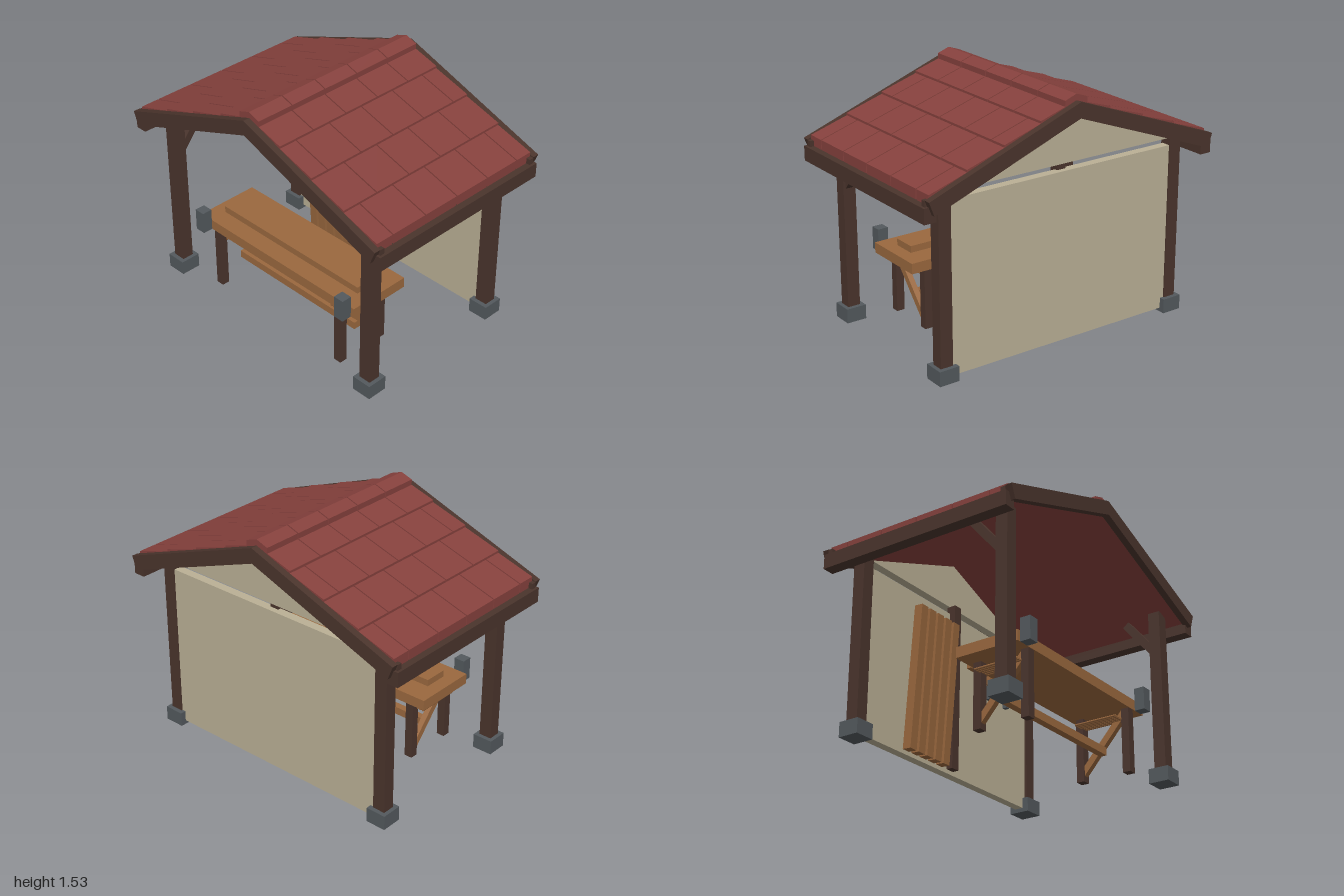
import * as THREE from 'three';

const mat = (name, color) => {
  const m = new THREE.MeshStandardMaterial({ color });
  m.name = name;
  return m;
};

export function createModel() {
  const root = new THREE.Group();
  root.name = 'workshopShelter';
  const timber = mat('darkTimber', 0x4a342c);
  const wood = mat('lightWood', 0x9a683e);
  const roofRed = mat('roofRed', 0x86413d);
  const plaster = mat('plaster', 0xbab095);
  const metal = mat('greyMetal', 0x53595d);

  const add = (name, geo, material) => {
    const mesh = new THREE.Mesh(geo, material);
    mesh.name = name;
    root.add(mesh);
    return mesh;
  };
  // Box given by its limits on each axis
  const box = (name, m, x0, x1, y0, y1, z0, z1) => {
    const mesh = add(name, new THREE.BoxGeometry(x1 - x0, y1 - y0, z1 - z0), m);
    mesh.position.set((x0 + x1) / 2, (y0 + y1) / 2, (z0 + z1) / 2);
    return mesh;
  };
  // Polygon in the xy plane, extruded from z0 to z1
  const prism = (name, m, pts, z0, z1) => {
    const shape = new THREE.Shape(pts.map(([x, y]) => new THREE.Vector2(x, y)));
    const geo = new THREE.ExtrudeGeometry(shape, { depth: z1 - z0, bevelEnabled: false });
    geo.translate(0, 0, z0);
    return add(name, geo, m);
  };
  // Right half outline, from the top centre round to the bottom centre, mirrored in x
  const mirrored = (half) => [
    ...half,
    ...half.slice(1, -1).reverse().map(([x, y]) => [-x, y]),
  ];
  // Square beam between two points that share the same x
  const beam = (name, m, x, w, t, [y0, z0], [y1, z1]) => {
    const mesh = add(name, new THREE.BoxGeometry(w, Math.hypot(y1 - y0, z1 - z0), t), m);
    mesh.position.set(x, (y0 + y1) / 2, (z0 + z1) / 2);
    mesh.rotation.x = Math.atan2(z1 - z0, y1 - y0);
    return mesh;
  };

  // Corner posts on footings, front knee braces
  for (const s of [-1, 1]) {
    const x = s * 0.81;
    for (const z of [-0.5, 0.5]) {
      box('footing', metal, x - 0.064, x + 0.064, 0, 0.09, z - 0.065, z + 0.065);
      box('cornerPost', timber, x - 0.04, x + 0.04, 0.09, 1.115, z - 0.038, z + 0.038);
    }
    beam('kneeBrace', timber, x, 0.05, 0.05, [0.84, 0.495], [1.09, 0.29]);
  }

  // Back wall, gable panel and middle post
  box('backWall', plaster, -0.775, 0.775, 0.025, 1.06, -0.53, -0.475);
  prism('gablePanel', plaster, [[-0.775, 1.105], [0.775, 1.105], [0, 1.4]], -0.53, -0.475);
  box('middlePost', timber, -0.03, 0.03, 0.05, 1.107, -0.495, -0.435);

  // Roof deck, barge boards and eave beams
  const slope = 0.367;
  const line = (x, lift = 0) => [x, 1.49 + lift - slope * x];
  prism('roofDeck', roofRed, mirrored([line(0, -0.058), line(0.955, -0.058), line(0.955, -0.085), line(0, -0.085)]), -0.62, 0.62);
  const barge = mirrored([line(0), line(0.985), [0.953, 1.045], line(0, -0.093)]);
  prism('bargeBoard', timber, barge, 0.62, 0.662);
  prism('bargeBoard', timber, barge, -0.662, -0.62);
  for (const s of [-1, 1]) {
    const [a, b] = s > 0 ? [0.925, 1] : [-1, -0.925];
    box('eaveBeam', timber, a, b, 1, 1.09, -0.635, 0.635);
    const [c, d] = s > 0 ? [0.955, 0.985] : [-0.985, -0.955];
    for (const z of [-0.62, 0.59]) box('eaveTab', timber, c, d, 1.085, 1.125, z, z + 0.03);
  }

  // Staggered shingle courses: the joints shift by half a tile on alternate rows
  const joints = [
    [-0.62, -0.375, -0.125, 0.125, 0.375, 0.62],
    [-0.62, -0.5, -0.25, 0, 0.25, 0.5, 0.62],
  ];
  const eachTile = (row, fn) => {
    const j = joints[row % 2];
    for (let i = 0; i < j.length - 1; i++) {
      fn(j[i] + (i ? 0.004 : 0), j[i + 1] - (i < j.length - 2 ? 0.004 : 0));
    }
  };
  for (let row = 0; row < 4; row++) {
    const x0 = row * 0.24, x1 = x0 + 0.24;
    const outline = [line(x0), line(x1, 0.014), line(x1, -0.046), line(x0, -0.059)];
    for (const s of [-1, 1]) {
      const pts = outline.map(([x, y]) => [s * x, y]);
      eachTile(row, (z0, z1) => prism('shingle', roofRed, pts, z0, z1));
    }
  }
  // Ridge caps
  const cap = mirrored([[0, 1.527], [0.077, 1.5], [0.077, 1.462], [0, 1.485]]);
  eachTile(0, (z0, z1) => prism('ridgeCap', roofRed, cap, z0, z1));

  // Workbench top
  box('benchTop', wood, -0.65, 0.65, 0.395, 0.46, 0.055, 0.465);
  box('benchRaisedBoard', wood, -0.565, 0.565, 0.46, 0.502, 0.2, 0.35);
  box('benchStretcher', wood, -0.495, 0.495, 0.13, 0.178, 0.255, 0.3);
  for (const s of [-1, 1]) {
    const x = s * 0.515;
    // Legs, diagonal side braces and clamps
    for (const z of [0.12, 0.435]) box('benchLeg', timber, x - 0.026, x + 0.026, 0, 0.395, z - 0.025, z + 0.025);
    beam('benchBrace', wood, x, 0.035, 0.042, [0.375, 0.42], [0.045, 0.125]);
    box('benchClamp', metal, s * 0.592 - 0.034, s * 0.592 + 0.034, 0.395, 0.535, 0.465, 0.53);
    // Row of thin rods under the top
    for (let i = 0; i < 6; i++) {
      const rod = add('benchRod', new THREE.CylinderGeometry(0.007, 0.007, 0.28, 8), wood);
      rod.rotation.x = Math.PI / 2;
      rod.position.set((s < 0 ? -0.583 : 0.42) + i * 0.02, 0.332, 0.275);
    }
  }

  // Leaning planks
  for (let i = 0; i < 5; i++) {
    beam('leaningPlank', wood, -0.502 + i * 0.075, 0.055, 0.055, [0.002, -0.37], [0.875, -0.315]);
  }

  // Tool rack with two hanging tools
  box('toolRack', wood, 0.1, 0.55, 0.73, 0.783, -0.437, -0.405);
  for (const x of [0.273, 0.448]) {
    box('toolHandle', wood, x - 0.018, x + 0.018, 0.67, 0.86, -0.41, -0.376);
    box('toolHead', metal, x - 0.014, x + 0.014, 0.573, 0.662, -0.408, -0.378);
  }

  return root;
}
